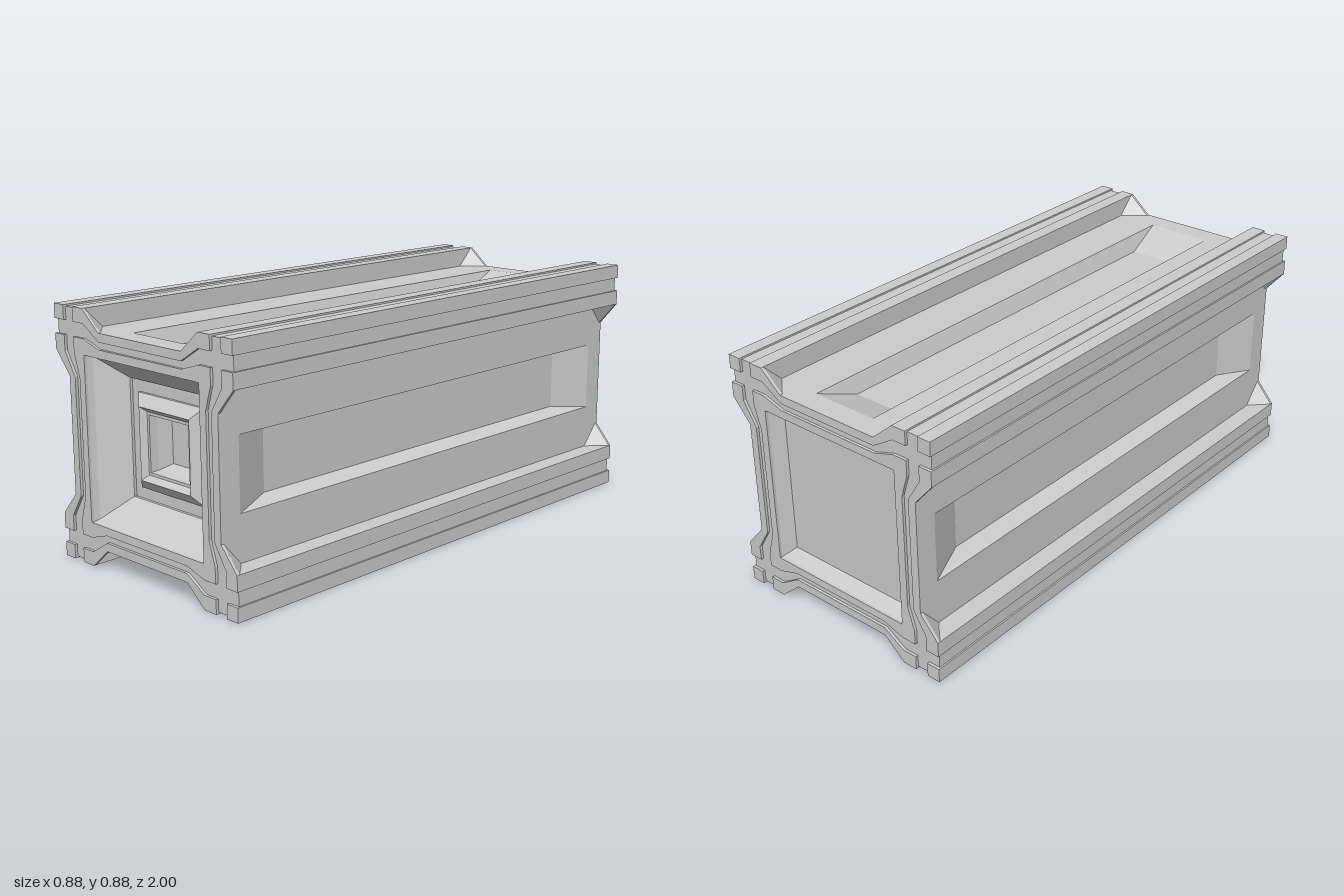
import * as THREE from 'three';
import { ConvexGeometry } from 'three/addons/geometries/ConvexGeometry.js';

const MID = 0.44, END = 0.99, HOLE = 0.286;
const material = new THREE.MeshStandardMaterial({ color: 0xcccccc, flatShading: true });

function mesh(name, geometry) {
  const m = new THREE.Mesh(geometry, material);
  m.name = name;
  return m;
}

// Turn a point list by quarter turns into a closed four-sided outline
function fourfold(points) {
  const out = [];
  for (let k = 0; k < 4; k++) {
    for (const [x, y] of points) {
      out.push([[x, y], [-y, x], [-x, -y], [y, -x]][k]);
    }
  }
  return out;
}

const toShape = (pts) => new THREE.Shape(pts.map(([x, y]) => new THREE.Vector2(x, y)));

function withHole(shape, h) {
  const pts = [[-h, -h], [-h, h], [h, h], [h, -h]];
  shape.holes.push(new THREE.Path(pts.map(([x, y]) => new THREE.Vector2(x, y))));
  return shape;
}

function extrude(shape, z0, z1) {
  const g = new THREE.ExtrudeGeometry(shape, { depth: z1 - z0, bevelEnabled: false });
  return g.translate(0, 0, z0);
}

// Nested rectangles [halfX, halfY, z], outer to inner, joined by strips and closed by a floor
function steppedRecess(rects) {
  const loops = rects.map(([a, b, z]) => [[-a, -b, z], [a, -b, z], [a, b, z], [-a, b, z]]);
  const pos = [];
  const quad = (a, b, c, d) => pos.push(...a, ...b, ...c, ...a, ...c, ...d);
  for (let i = 0; i + 1 < loops.length; i++) {
    for (let k = 0; k < 4; k++) {
      const n = (k + 1) % 4;
      quad(loops[i][k], loops[i][n], loops[i + 1][n], loops[i + 1][k]);
    }
  }
  quad(...loops[loops.length - 1]);
  const g = new THREE.BufferGeometry();
  g.setAttribute('position', new THREE.Float32BufferAttribute(pos, 3));
  g.computeVertexNormals();
  return g;
}

// End frame: flat back face, raised inner ring, four rim strips and corner blocks
function makeEndFrame(name) {
  const frame = new THREE.Group();
  frame.name = name;

  const silhouette = fourfold([
    [0.44, 0.44], [0.39, 0.44], [0.39, 0.434], [0.34, 0.434], [0.34, 0.44],
    [0.286, 0.44], [0.205, 0.37], [-0.205, 0.37], [-0.286, 0.44],
    [-0.34, 0.44], [-0.34, 0.434], [-0.39, 0.434], [-0.39, 0.44],
  ]);
  const face = new THREE.ShapeGeometry(withHole(toShape(silhouette), HOLE));
  frame.add(mesh('endFace', face.translate(0, 0, END)));

  const ring = fourfold([[0.34, 0.34], [0.286, 0.34], [0.205, 0.315], [-0.205, 0.315], [-0.286, 0.34]]);
  frame.add(mesh('innerRing', extrude(withHole(toShape(ring), HOLE), END, 1)));

  const half = [[0.205, 0.34], [0.286, 0.39], [0.34, 0.39], [0.34, 0.44], [0.286, 0.44], [0.205, 0.37]];
  const rim = toShape([...half, ...half.map(([x, y]) => [-x, y]).reverse()]);
  const block = toShape([[0.39, 0.39], [0.44, 0.39], [0.44, 0.44], [0.39, 0.44]]);
  for (let k = 0; k < 4; k++) {
    const side = new THREE.Group();
    side.name = 'frameSide';
    side.add(mesh('rimStrip', extrude(rim, END, 1)));
    side.add(mesh('cornerBlock', extrude(block, END, 1)));
    // Gussets bracing the rails against the end frame
    for (const s of [-1, 1]) {
      side.add(mesh('gusset', new ConvexGeometry([
        new THREE.Vector3(s * 0.286, 0.44, END),
        new THREE.Vector3(s * 0.205, 0.37, END),
        new THREE.Vector3(s * 0.286, 0.37, END),
        new THREE.Vector3(s * 0.286, 0.37, 0.92),
      ])));
    }
    side.rotation.z = k * Math.PI / 2;
    frame.add(side);
  }
  return frame;
}

export function createModel() {
  const model = new THREE.Group();
  model.name = 'container';
  const body = new THREE.Group();
  body.name = 'body';
  body.position.y = MID;
  model.add(body);

  // Long corner rails with shallow grooves, and the recessed panel between each pair
  const rail = toShape([
    [0.286, 0.286], [0.44, 0.286], [0.44, 0.34], [0.434, 0.34], [0.434, 0.39], [0.44, 0.39],
    [0.44, 0.44], [0.39, 0.44], [0.39, 0.434], [0.34, 0.434], [0.34, 0.44], [0.286, 0.44],
  ]);
  const panel = steppedRecess([[HOLE, END, 0.37], [0.125, 0.92, 0.37], [0.105, 0.765, 0.31]]);
  panel.rotateX(-Math.PI / 2);
  for (let k = 0; k < 4; k++) {
    const side = new THREE.Group();
    side.name = 'bodySide';
    side.add(mesh('cornerRail', extrude(rail, -END, END)), mesh('sidePanel', panel));
    side.rotation.z = k * Math.PI / 2;
    body.add(side);
  }

  // Front end: funnel, flat ledge, raised bezel and a stepped socket
  const front = new THREE.Group();
  front.name = 'frontEnd';
  front.add(makeEndFrame('frontFrame'));
  front.add(mesh('frontSocket', steppedRecess([
    [HOLE, HOLE, END], [0.28, 0.28, 0.97], [0.205, 0.205, 0.88], [0.205, 0.205, 0.87],
    [0.163, 0.163, 0.87], [0.163, 0.163, 0.88], [0.125, 0.125, 0.91],
    [0.108, 0.108, 0.89], [0.098, 0.098, 0.89], [0.095, 0.095, 0.86], [0.08, 0.08, 0.81],
  ])));
  body.add(front);

  // Back end: the same frame around a plain sunken plate
  const back = new THREE.Group();
  back.name = 'backEnd';
  back.add(makeEndFrame('backFrame'));
  back.add(mesh('backPlate', steppedRecess([[HOLE, HOLE, END], [0.265, 0.265, 0.94]])));
  back.rotation.y = Math.PI;
  body.add(back);

  return model;
}
